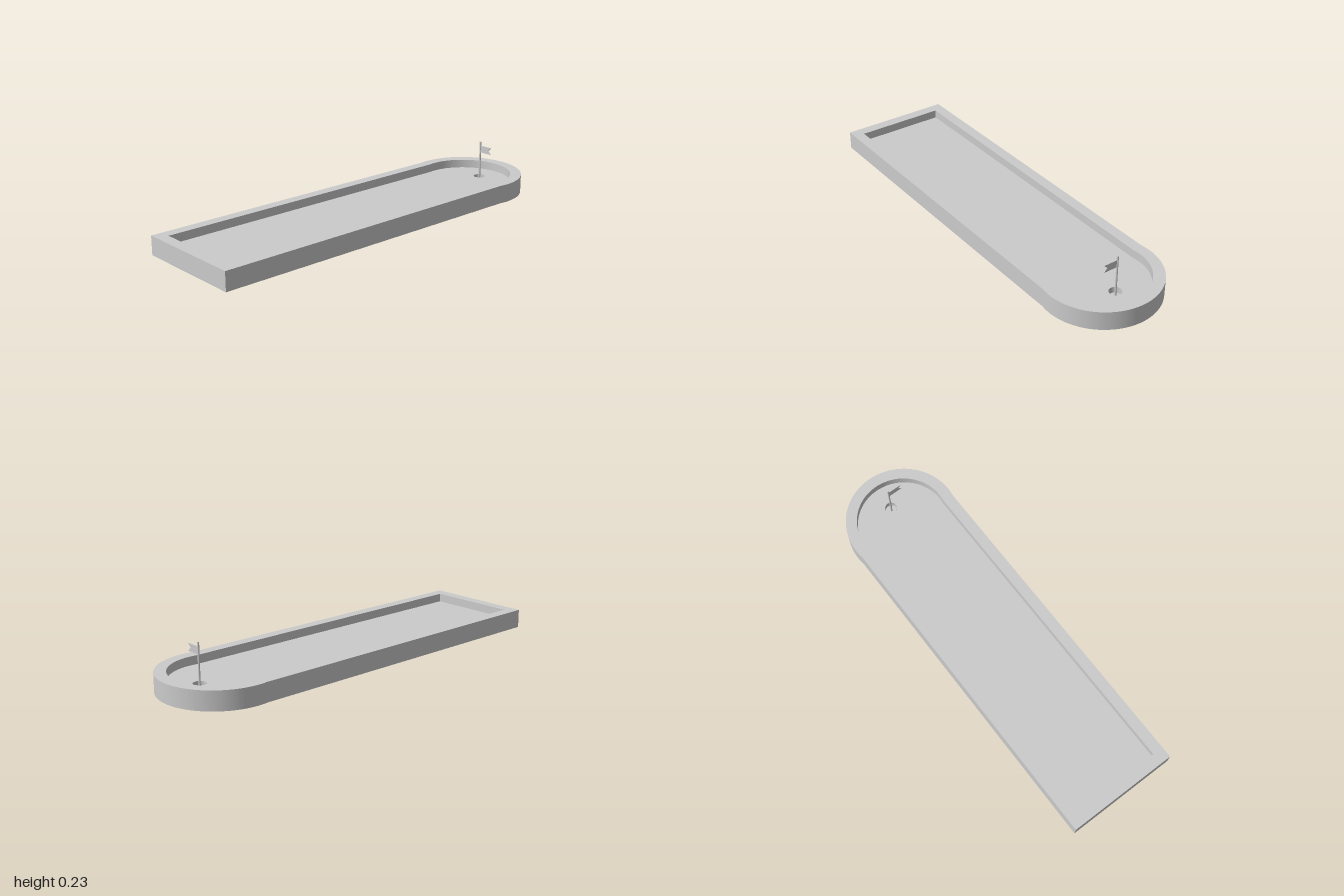
import * as THREE from 'three';
import { toCreasedNormals } from 'three/addons/utils/BufferGeometryUtils.js';

const HEIGHT = 0.092, FLOOR = 0.05, CUP_BOTTOM = 0.02;
const END_X = 0.719;                 // centre of the round end
const CUP_X = 0.822, CUP_R = 0.03;   // hole and pole position

// Lane outline: square at one end, slightly bulging round at the other
function outline(shape, left, halfWidth, radius) {
  const a = Math.PI - Math.asin(halfWidth / radius);
  shape.moveTo(left, -halfWidth);
  shape.lineTo(END_X + radius * Math.cos(a), -halfWidth);
  shape.absarc(END_X, 0, radius, -a, a, false);
  shape.lineTo(left, halfWidth);
  shape.closePath();
  return shape;
}
const inner = (shape) => outline(shape, -0.945, 0.223, 0.226);

export function createModel() {
  const group = new THREE.Group();
  const material = new THREE.MeshStandardMaterial({ color: 0xcccccc });
  const thin = new THREE.MeshStandardMaterial({ color: 0xcccccc, side: THREE.DoubleSide });
  const add = (name, geometry, mat = material) => {
    const mesh = new THREE.Mesh(geometry, mat);
    mesh.name = name;
    group.add(mesh);
    return mesh;
  };

  // Raised border wall
  const rimShape = outline(new THREE.Shape(), -1, 0.277, 0.281);
  rimShape.holes.push(inner(new THREE.Path()));
  const rim = new THREE.ExtrudeGeometry(rimShape, { depth: HEIGHT, bevelEnabled: false, curveSegments: 64 });
  add('border', toCreasedNormals(rim.rotateX(-Math.PI / 2), 0.15));

  // Playing surface with the hole cut out
  const floorShape = inner(new THREE.Shape());
  floorShape.holes.push(new THREE.Path().absarc(CUP_X, 0, CUP_R, 0, Math.PI * 2, true));
  add('playingSurface', new THREE.ShapeGeometry(floorShape, 64).rotateX(-Math.PI / 2)).position.y = FLOOR;

  // Underside, level with the bottom of the border
  add('underside', new THREE.ShapeGeometry(inner(new THREE.Shape()), 64).rotateX(Math.PI / 2));

  // Cup: wall and bottom
  const depth = FLOOR - CUP_BOTTOM;
  add('cupWall', new THREE.CylinderGeometry(CUP_R, CUP_R, depth, 48, 1, true), thin)
    .position.set(CUP_X, CUP_BOTTOM + depth / 2, 0);
  add('cupBottom', new THREE.CircleGeometry(CUP_R, 48).rotateX(-Math.PI / 2))
    .position.set(CUP_X, CUP_BOTTOM, 0);

  // Flag pole
  const top = 0.235, poleLength = top - CUP_BOTTOM;
  add('flagPole', new THREE.CylinderGeometry(0.0045, 0.0045, poleLength, 24))
    .position.set(CUP_X, CUP_BOTTOM + poleLength / 2, 0);

  // Swallow-tailed flag pointing to the front
  const flagShape = new THREE.Shape([[0, 0.179], [0.074, 0.179], [0.056, 0.197], [0.074, 0.215], [0, 0.215]]
    .map(([z, y]) => new THREE.Vector2(z, y)));
  const flag = new THREE.ExtrudeGeometry(flagShape, { depth: 0.002, bevelEnabled: false });
  add('flag', flag.translate(0, 0, -0.001).rotateY(-Math.PI / 2)).position.x = CUP_X;

  return group;
}
